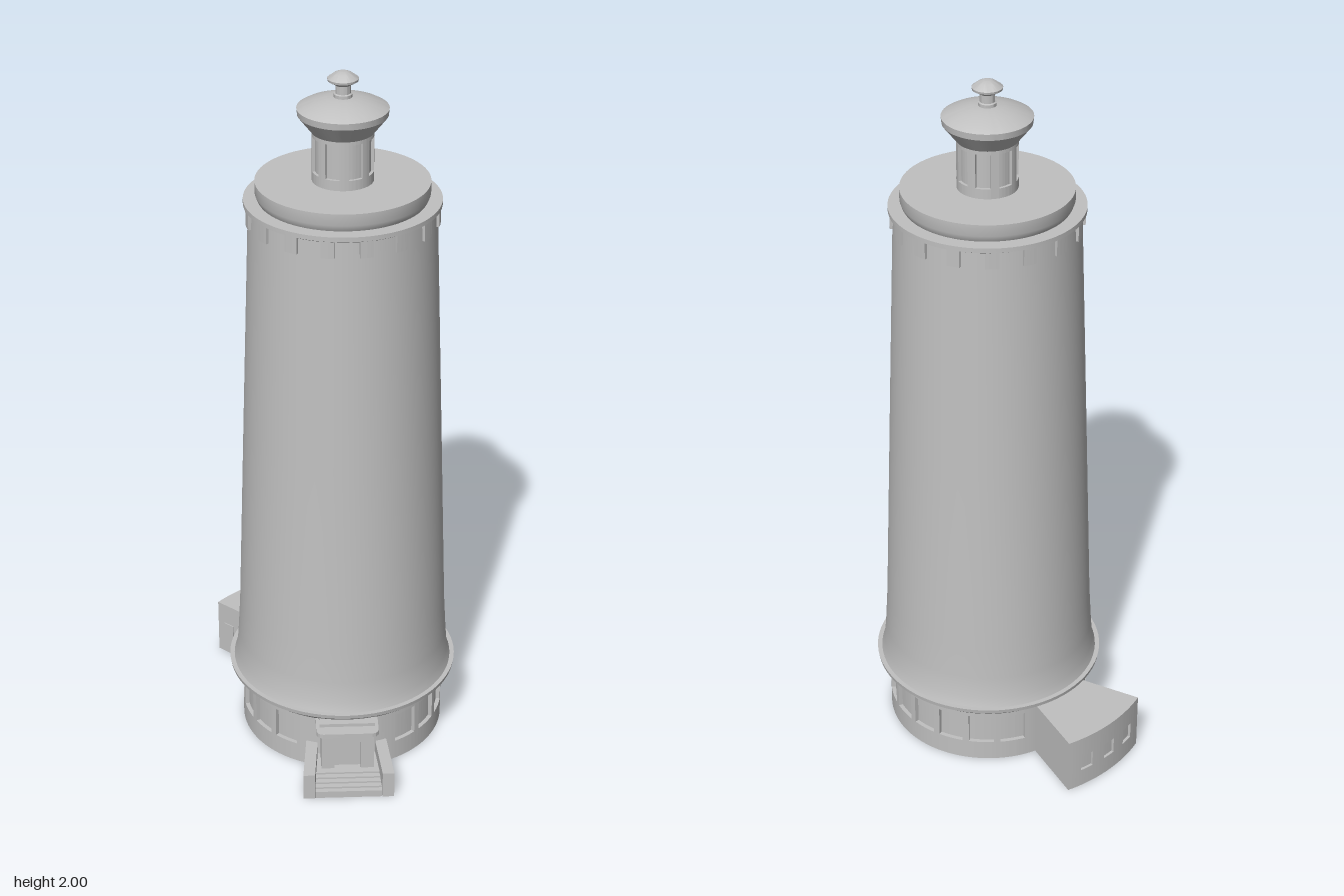
import * as THREE from 'three';
import { toCreasedNormals } from 'three/addons/utils/BufferGeometryUtils.js';

const stone = new THREE.MeshStandardMaterial({ color: 0xc0c0c0 });
stone.name = 'grey stone';
const rad = THREE.MathUtils.degToRad;

function add(parent, name, geometry) {
  const mesh = new THREE.Mesh(geometry, stone);
  mesh.name = name;
  parent.add(mesh);
  return mesh;
}

function box(parent, name, x0, x1, y0, y1, z0, z1) {
  const m = add(parent, name, new THREE.BoxGeometry(x1 - x0, y1 - y0, z1 - z0));
  m.position.set((x0 + x1) / 2, (y0 + y1) / 2, (z0 + z1) / 2);
  return m;
}

// Turned part from [radius, height] pairs, bottom to top
function turned(parent, name, profile) {
  const points = profile.map(([r, y]) => new THREE.Vector2(r, y));
  return add(parent, name, toCreasedNormals(new THREE.LatheGeometry(points, 80), rad(25)));
}

// Extrude a plan outline (x, -z) upwards from y0 to y1
function raise(shape, y0, y1) {
  const g = new THREE.ExtrudeGeometry(shape, { depth: y1 - y0, bevelEnabled: false, curveSegments: 16 });
  g.rotateX(-Math.PI / 2).translate(0, y0, 0);
  return toCreasedNormals(g, rad(30));
}

// Curved wall block; angles in degrees from +z towards +x
function arcBlock(parent, name, r0, r1, a0, a1, y0, y1) {
  const s = new THREE.Shape();
  const b = rad(a0 - 90), e = rad(a1 - 90);
  s.absarc(0, 0, r1, b, e, false);
  s.absarc(0, 0, r0, e, b, true);
  return add(parent, name, raise(s, y0, y1));
}

// Curved wall with sill, head and piers around recessed windows
function windowWall(parent, name, o) {
  const g = new THREE.Group();
  g.name = name;
  parent.add(g);
  const bounds = [o.from, ...o.windows.flatMap(a => [a - o.half, a + o.half]), o.to];
  for (let i = 0; i < bounds.length - 1; i++) {
    const [a, b] = [bounds[i], bounds[i + 1]];
    if (i % 2 === 0) {
      arcBlock(g, 'pier', o.inner, o.outer, a, b, o.y0, o.y1);
    } else {
      arcBlock(g, 'windowSill', o.inner, o.outer, a, b, o.y0, o.w0);
      arcBlock(g, 'windowPane', o.inner, o.outer - o.depth, a, b, o.w0, o.w1);
      arcBlock(g, 'windowHead', o.inner, o.outer, a, b, o.w1, o.y1);
    }
  }
  return g;
}

export function createModel() {
  const model = new THREE.Group();
  model.name = 'tower';
  const round = new THREE.Group();
  round.name = 'roundTower';
  round.position.set(0.017, 0, 0.018);
  model.add(round);

  // Ground storey: windows every 18 degrees except behind the entrance
  const baseWindows = [];
  for (let i = 2; i <= 18; i++) if (i < 11 || i > 12) baseWindows.push(i * 18);
  windowWall(round, 'groundStorey', {
    inner: 0.25, outer: 0.292, depth: 0.012, y0: 0, y1: 0.17, w0: 0.06, w1: 0.152,
    from: 9, to: 351, windows: baseWindows, half: 7.2,
  });
  arcBlock(round, 'entranceWall', 0.25, 0.292, -9, 9, 0, 0.17);
  turned(round, 'floor', [[0, 0], [0.26, 0], [0.26, 0.02], [0, 0.02]]);

  // Shaft with flared foot and gallery rim
  turned(round, 'shaft', [
    [0.25, 0.165], [0.292, 0.165], [0.327, 0.195], [0.329, 0.207], [0.316, 0.207],
    [0.307, 0.235], [0.302, 0.3], [0.296, 0.4], [0.275, 0.98], [0.251, 1.63],
    [0.264, 1.637], [0.264, 1.65], [0.224, 1.65],
  ]);
  turned(round, 'roofDisc', [
    [0.222, 1.645], [0.228, 1.655], [0.2326, 1.668], [0.2326, 1.7], [0, 1.7],
  ]);

  // Small blocks below the gallery rim
  for (let i = 0; i < 16; i++) {
    const a = (i + 0.5) * 22.5;
    arcBlock(round, 'corbel', 0.24, 0.26, a - 4, a + 4, 1.588, 1.637);
  }

  // Lantern room
  const lanternWindows = Array.from({ length: 8 }, (_, i) => 22.5 + i * 45);
  windowWall(round, 'lanternRoom', {
    inner: 0.05, outer: 0.082, depth: 0.008, y0: 1.7, y1: 1.84, w0: 1.728, w1: 1.825,
    from: 0, to: 360, windows: lanternWindows, half: 14,
  });
  turned(round, 'lanternRoof', [
    [0, 1.835], [0.082, 1.835], [0.119, 1.882], [0.121, 1.9], [0.105, 1.909],
    [0.075, 1.92], [0.045, 1.928], [0, 1.931],
  ]);
  turned(round, 'finial', [
    [0.024, 1.925], [0.024, 1.938], [0.02, 1.94], [0.02, 1.962], [0.04, 1.974],
    [0.041, 1.98], [0.024, 1.993], [0.01, 1.999], [0, 2],
  ]);

  // Wedge-shaped annex at the back
  const a0 = 193.9, a1 = 228.7, mid = (a0 + a1) / 2;
  windowWall(round, 'annex', {
    inner: 0.27, outer: 0.488, depth: 0.008, y0: 0, y1: 0.17, w0: 0.055, w1: 0.105,
    from: a0, to: a1, windows: [mid - 10, mid, mid + 10], half: 2.4,
  });
  const side = add(round, 'annexSideWindow', new THREE.BoxGeometry(0.006, 0.05, 0.036));
  side.position.set(0.445 * Math.sin(rad(a1)), 0.08, 0.445 * Math.cos(rad(a1)));
  side.rotation.y = rad(a1);

  // Entrance stairs with splayed side walls
  const entrance = new THREE.Group();
  entrance.name = 'entrance';
  entrance.position.x = 0.017;
  model.add(entrance);
  for (const s of [-1, 1]) {
    const plan = new THREE.Shape([[0.095, -0.45], [0.128, -0.45], [0.114, -0.28], [0.081, -0.28]]
      .map(([x, y]) => new THREE.Vector2(s * x, y)));
    add(entrance, 'sideWall', raise(plan, 0, 0.08));
  }
  [0.449, 0.435, 0.42, 0.405, 0.39].forEach((z, i) => {
    box(entrance, 'step', -0.094, 0.094, 0, 0.021 + i * 0.0053, 0.28, z);
  });

  // Portico with door, jambs and cap
  for (const s of [-1, 1]) {
    const j = box(entrance, 'doorJamb', -0.0185, 0.0185, 0.04, 0.155, 0.28, 0.37);
    j.position.x = s * 0.056;
  }
  box(entrance, 'lintel', -0.0375, 0.0375, 0.132, 0.155, 0.28, 0.37);
  box(entrance, 'door', -0.0375, 0.0375, 0.04, 0.132, 0.28, 0.355);
  const cap = new THREE.Shape();
  cap.moveTo(-0.088, -0.28);
  cap.lineTo(-0.088, -0.36);
  cap.quadraticCurveTo(-0.086, -0.38, -0.066, -0.38);
  cap.lineTo(0.066, -0.38);
  cap.quadraticCurveTo(0.086, -0.38, 0.088, -0.36);
  cap.lineTo(0.088, -0.28);
  add(entrance, 'porticoCap', raise(cap, 0.155, 0.168));
  box(entrance, 'porticoTop', -0.078, 0.078, 0.168, 0.178, 0.28, 0.345);

  return model;
}
